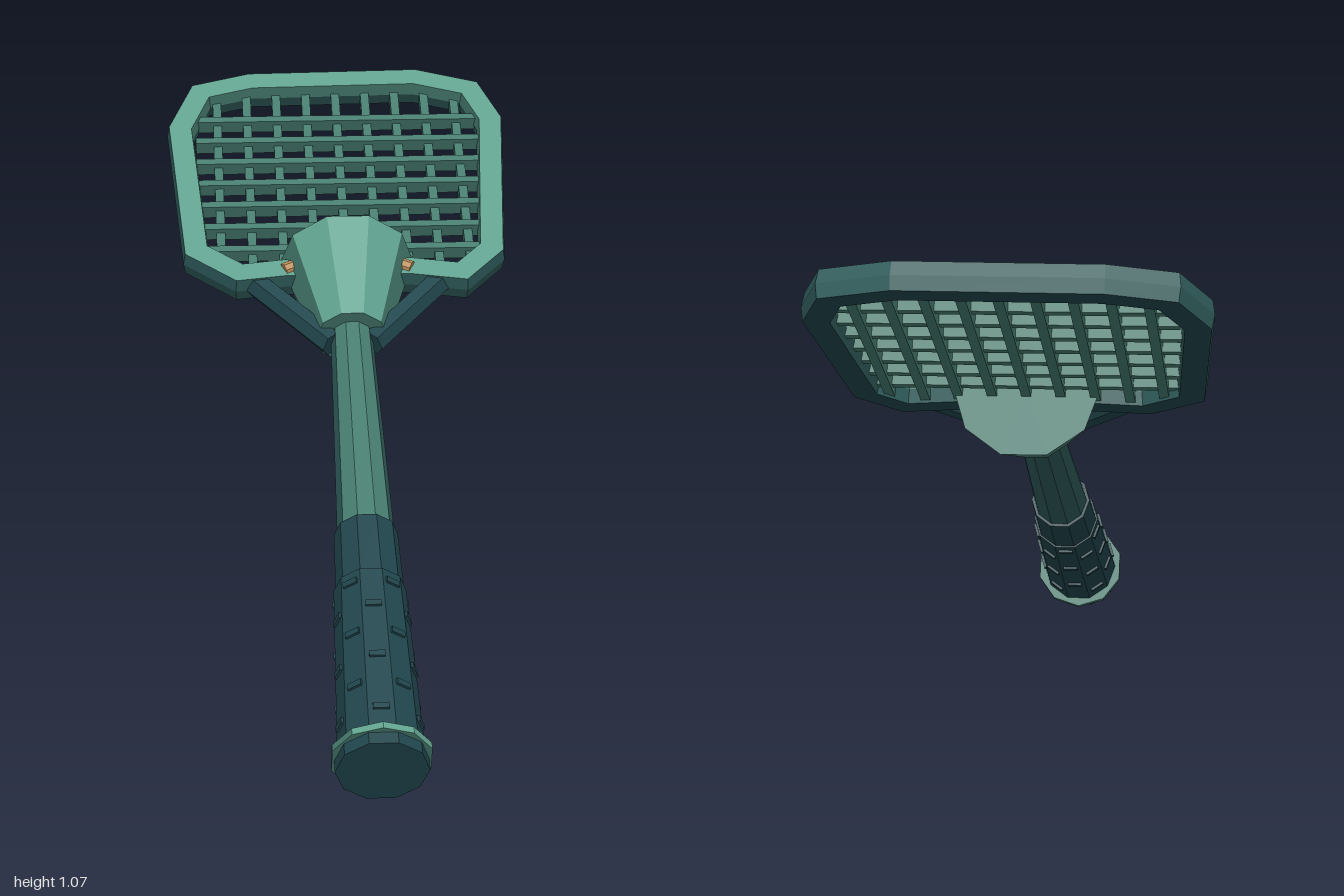
import * as THREE from 'three';

const paint = (name, color) => {
  const m = new THREE.MeshStandardMaterial({ color, flatShading: true });
  m.name = name;
  return m;
};

// Sweep a section (outward, height) round a closed clockwise loop; one group per section side
function sweepLoop(loop, section) {
  const n = loop.length, pos = [];
  const rings = loop.map((p, i) => {
    const t0 = p.clone().sub(loop[(i + n - 1) % n]).normalize();
    const t1 = loop[(i + 1) % n].clone().sub(p).normalize();
    const mitre = new THREE.Vector2(-t0.y - t1.y, t0.x + t1.x).normalize();
    const k = 1 / (-mitre.x * t1.y + mitre.y * t1.x);
    return section.map(([r, h]) => [p.x + mitre.x * r * k, p.y + mitre.y * r * k, h]);
  });
  const g = new THREE.BufferGeometry();
  for (let k = 0; k < section.length; k++) {
    const l = (k + 1) % section.length;
    for (let i = 0; i < n; i++) {
      const A = rings[i], B = rings[(i + 1) % n];
      pos.push(...A[k], ...A[l], ...B[k], ...A[l], ...B[l], ...B[k]);
    }
    g.addGroup(k * n * 6, n * 6, k);
  }
  g.setAttribute('position', new THREE.Float32BufferAttribute(pos, 3));
  g.computeVertexNormals();
  return g;
}

export function createModel() {
  const light = paint('light sage', 0x60a18e);
  const mid = paint('mid green', 0x467c6f);
  const deep = paint('deep green', 0x305d5c);
  const dark = paint('dark teal', 0x20454c);
  const copper = paint('copper', 0xb98a55);

  // Built upright: y runs from butt to tip, z is the face normal; tilted at the end
  const racket = new THREE.Group();
  racket.name = 'racket';
  const add = (name, geo, mat, x = 0, y = 0, z = 0) => {
    const m = new THREE.Mesh(geo, mat);
    m.name = name;
    m.position.set(x, y, z);
    racket.add(m);
    return m;
  };
  // Ten-sided tapered piece between two stations; the three upper facets take their own colour
  const taper = (name, y0, y1, r0, r1, upper, rest = upper, z = 0) => {
    const g = new THREE.CylinderGeometry(r1, r0, y1 - y0, 10, 1, false, Math.PI / 10);
    g.clearGroups();
    for (let k = 0; k < 10; k++) g.addGroup(k * 6, 6, [8, 9, 0].includes(k) ? 0 : 1);
    g.addGroup(60, 60, 1);
    return add(name, g, [upper, rest], 0, (y0 + y1) / 2, z);
  };

  // Handle
  taper('buttCap', 0, 0.03, 0.098, 0.098, dark);
  taper('gripLower', 0.02, 0.48, 0.092, 0.078, dark);
  taper('gripCollar', 0.47, 0.64, 0.074, 0.07, dark);
  taper('buttRing', 0.028, 0.044, 0.108, 0.108, light, mid).rotation.y = Math.PI / 10;
  taper('shaft', 0.6, 1.28, 0.064, 0.048, mid, deep);
  taper('throatCone', 1.25, 1.5, 0.083, 0.159, light, mid, -0.005);

  // Staggered grip studs
  const stud = new THREE.BoxGeometry(0.034, 0.014, 0.016);
  for (let row = 0; row < 6; row++) {
    const y = 0.1 + row * 0.07, r = 0.086 - y * 0.03;
    for (let k = 0; k < 5; k++) {
      const a = (k * 2 + (row % 2)) * Math.PI / 5;
      add('gripStud', stud, dark, Math.sin(a) * r, y, Math.cos(a) * r).rotation.y = a;
    }
  }

  // Head frame, section sides running from lower outer round to the underside
  const loop = [[-0.387, 1.95], [-0.335, 2.085], [-0.21, 2.122], [0.2, 2.13], [0.335, 2.085], [0.378, 1.97],
    [0.345, 1.51], [0.27, 1.43], [0.15, 1.45], [-0.15, 1.45], [-0.255, 1.437], [-0.355, 1.515]]
    .map(([x, y]) => new THREE.Vector2(x, y));
  const section = [[0.028, -0.031], [0.033, 0], [0.028, 0.031], [-0.026, 0.031], [-0.031, 0], [-0.026, -0.031]];
  add('headFrame', sweepLoop(loop, section), [deep, deep, light, mid, deep, dark]);

  // Strings: deep bars, the cross ones set slightly higher
  const longString = new THREE.BoxGeometry(0.021, 0.65, 0.032);
  for (let i = -4; i <= 4; i++) add('longString', longString, mid, i * 0.074, 1.785, -0.009);
  const crossString = new THREE.BoxGeometry(0.7, 0.02, 0.034);
  for (let i = 0; i < 7; i++) add('crossString', crossString, mid, 0, 1.53 + i * 0.077, 0.002);

  // Throat struts and copper pins
  const from = new THREE.Vector2(0.045, 1.225), to = new THREE.Vector2(0.215, 1.425);
  const run = to.clone().sub(from);
  const strut = new THREE.CylinderGeometry(0.031, 0.031, run.length(), 6, 1, false, Math.PI / 6);
  const pin = new THREE.CylinderGeometry(0.018, 0.018, 0.028, 8);
  for (const side of [-1, 1]) {
    add('throatStrut', strut, dark, side * (from.x + to.x) / 2, (from.y + to.y) / 2, 0)
      .rotation.z = -side * Math.atan2(run.x, run.y);
    add('throatPin', pin, copper, side * 0.138, 1.45, 0.026).rotation.z = side * 1.1;
  }

  // Lean the racket back
  racket.rotation.x = -THREE.MathUtils.degToRad(63.7);
  racket.position.set(0, 0.09, 0.957);
  const model = new THREE.Group();
  model.name = 'model';
  model.add(racket);
  return model;
}
